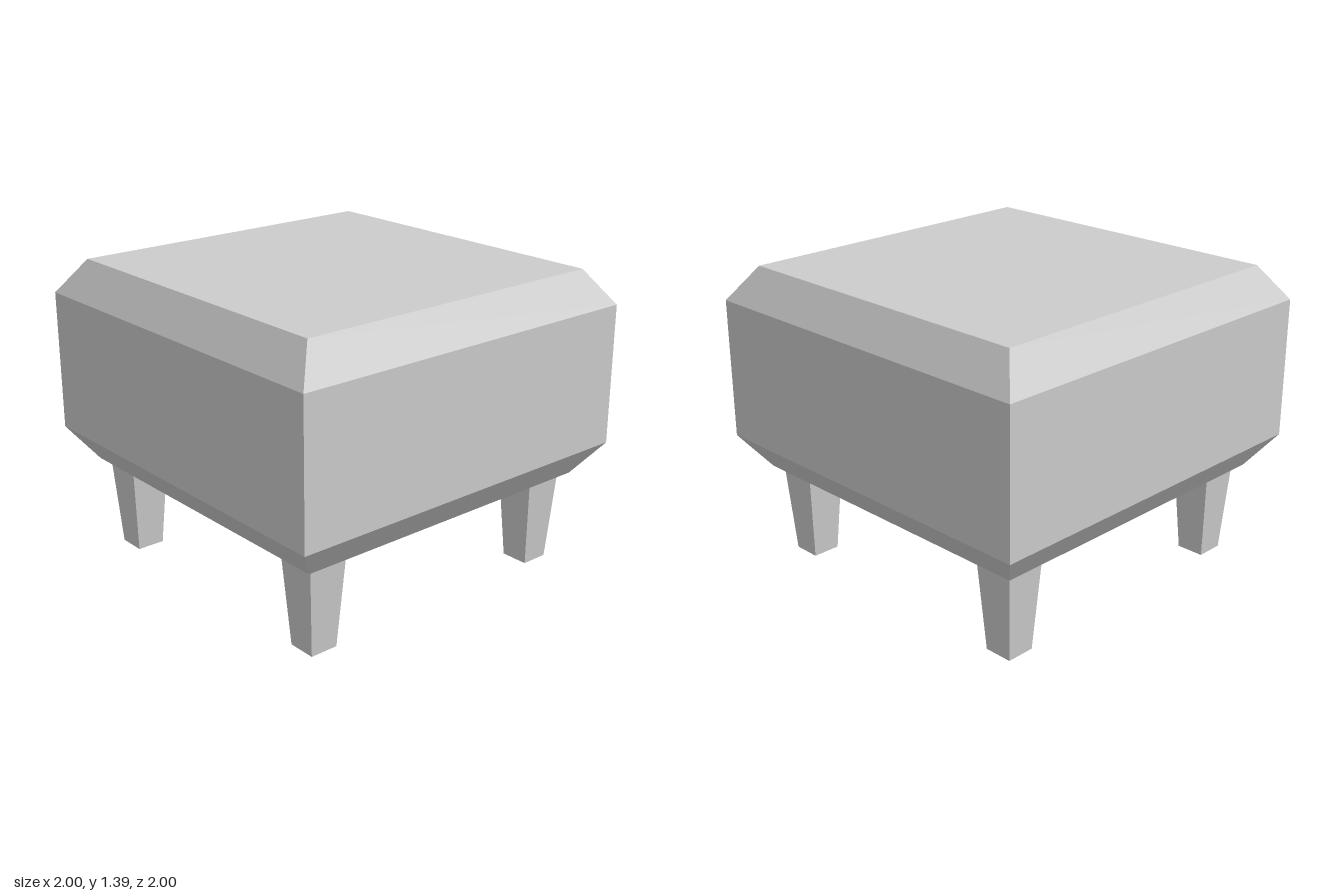
import * as THREE from 'three';

// Square-section solid from [half width, height] pairs, bottom to top
function squareLathe(profile) {
  const points = profile.map(([half, y]) => new THREE.Vector2(half * Math.SQRT2, y));
  return new THREE.LatheGeometry(points, 4, Math.PI / 4);
}

export function createModel() {
  const model = new THREE.Group();
  model.name = 'footstool';
  const grey = new THREE.MeshStandardMaterial({ color: 0xcccccc, flatShading: true });
  grey.name = 'light grey';

  // The whole stool is turned slightly about the vertical
  const stool = new THREE.Group();
  stool.name = 'stool';
  stool.rotation.y = 0.139;
  model.add(stool);

  // Cushion with bevelled top and bottom edges
  const cushion = new THREE.Mesh(squareLathe([
    [0, 0.425], [0.774, 0.425], [0.886, 0.58], [0.886, 1.23], [0.774, 1.388], [0, 1.388],
  ]), grey);
  cushion.name = 'cushion';
  stool.add(cushion);

  // Four tapered legs
  const legGeometry = squareLathe([[0, 0], [0.066, 0], [0.094, 0.425], [0, 0.425]]);
  for (const x of [-1, 1]) {
    for (const z of [-1, 1]) {
      const leg = new THREE.Mesh(legGeometry, grey);
      leg.name = `${z > 0 ? 'front' : 'back'}${x > 0 ? 'Left' : 'Right'}Leg`;
      leg.position.set(x * 0.643, 0, z * 0.643);
      stool.add(leg);
    }
  }
  return model;
}
